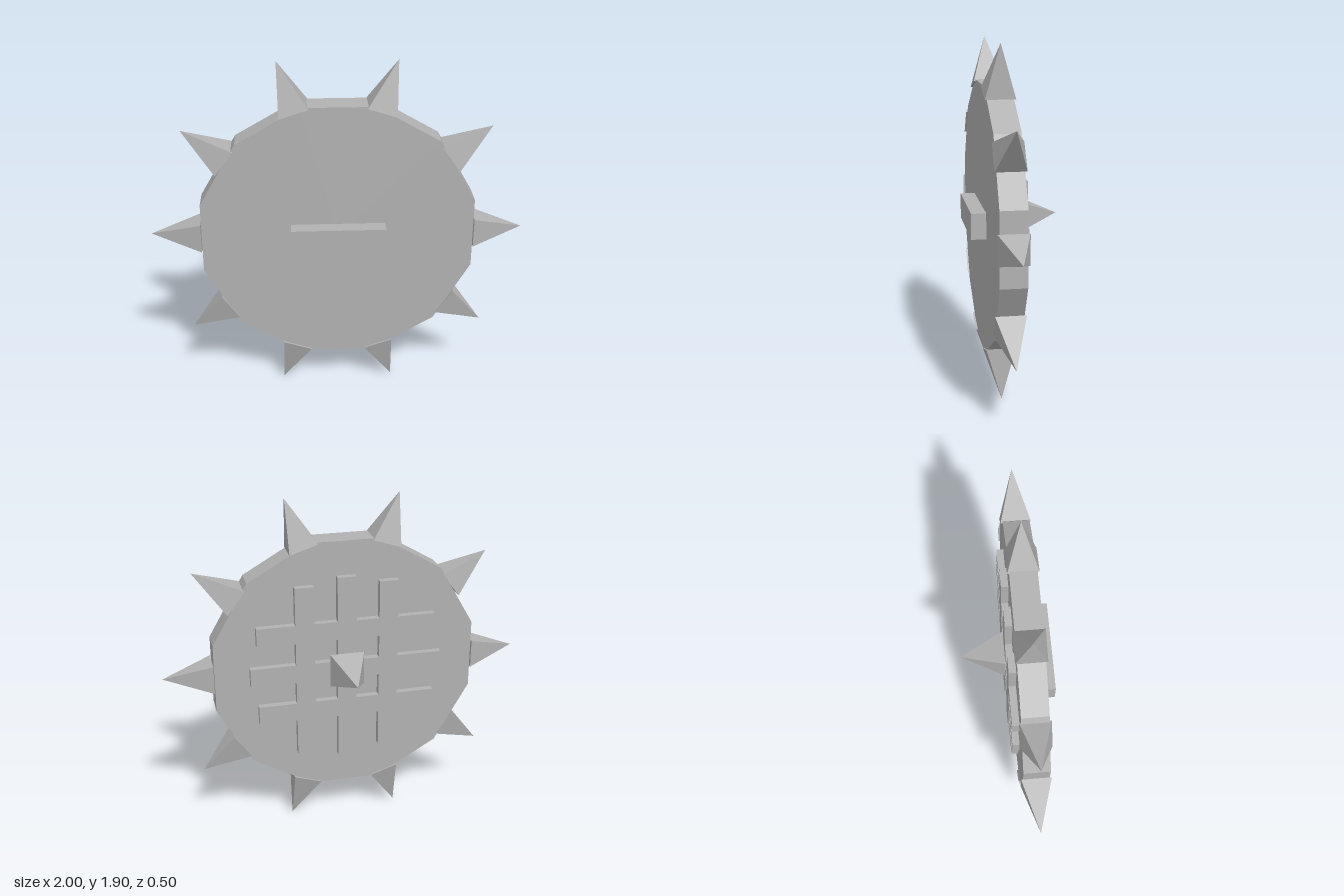
import * as THREE from 'three';

const CENTER_Y = 0.952;

export function createModel() {
  const model = new THREE.Group();
  model.name = 'spikedShield';
  const steel = new THREE.MeshStandardMaterial({ color: 0xb2b2b2 });
  steel.name = 'steel grey';
  steel.flatShading = true;

  const body = new THREE.Group();
  body.name = 'shieldBody';
  body.position.y = CENTER_Y;
  model.add(body);

  const add = (name, geometry, x = 0, y = 0, z = 0) => {
    const mesh = new THREE.Mesh(geometry, steel);
    mesh.name = name;
    mesh.position.set(x, y, z);
    body.add(mesh);
    return mesh;
  };
  // Box given by its size in x and y, and its z range
  const slab = (name, w, h, z0, z1, x = 0, y = 0) =>
    add(name, new THREE.BoxGeometry(w, h, z1 - z0), x, y, (z0 + z1) / 2);
  // Square pyramid along +y, base on the origin
  const pyramid = (half, height) =>
    new THREE.ConeGeometry(half * Math.SQRT2, height, 4, 1)
      .rotateY(Math.PI / 4).translate(0, height / 2, 0);

  // Twelve-sided plate
  const plate = new THREE.CylinderGeometry(0.75, 0.75, 0.14, 12, 1)
    .rotateY(Math.PI / 12).rotateX(Math.PI / 2);
  add('plate', plate, 0, 0, 0.1);

  // Ten spikes around the rim
  const rimSpike = pyramid(0.08, 0.27);
  for (let i = 0; i < 10; i++) {
    const a = (i * Math.PI) / 5;
    add('rimSpike', rimSpike, 0.728 * Math.cos(a), 0.728 * Math.sin(a), 0.1)
      .rotation.z = a - Math.PI / 2;
  }

  // Handle block on the front
  slab('handle', 0.5, 0.14, 0.16, 0.25);

  // Crossed bars on the back, the middle ones longer
  for (const i of [-1, 0, 1]) {
    const length = i === 0 ? 1.07 : 0.99;
    slab('uprightBar', 0.105, length, -0.008, 0.04, i * 0.232, 0);
    slab('crossBar', length, 0.105, -0.008, 0.04, 0, i * 0.232);
  }

  // Central spike on the back
  add('centerSpike', pyramid(0.095, 0.242).rotateX(-Math.PI / 2), 0, 0, -0.008);

  return model;
}
